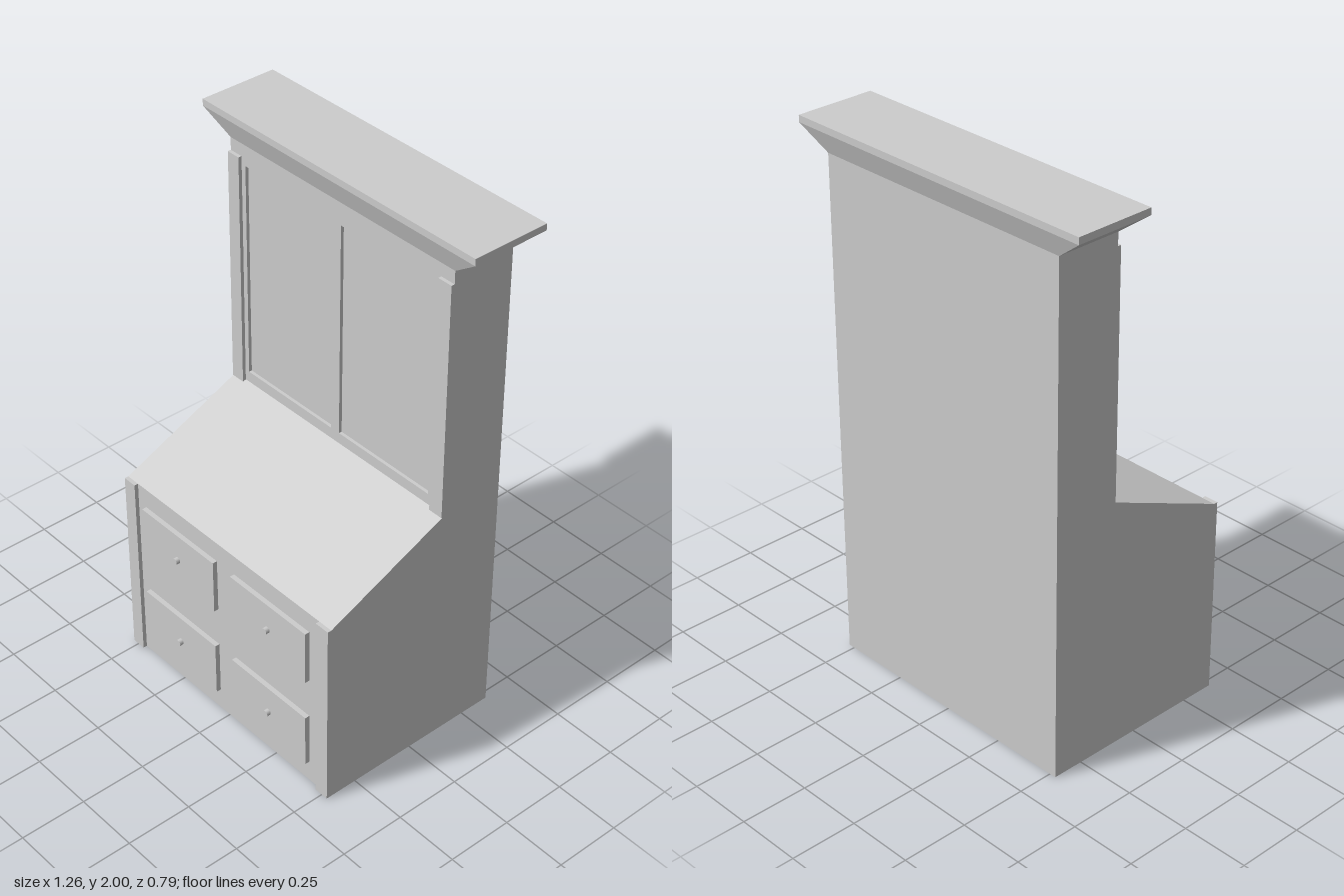
import * as THREE from 'three';

export function createModel() {
  const group = new THREE.Group();
  const paint = new THREE.MeshStandardMaterial({ color: 0xcccccc });
  paint.name = 'pale grey paint';

  const HALF = 0.525, BACK = -0.368, FRONT = 0.362, UPPER = -0.123;
  const SLOPE_LOW = 0.745, SLOPE_HIGH = 0.955, TOP = 1.895, RECESS = 0.012;

  const add = (name, geometry) => {
    const mesh = new THREE.Mesh(geometry, paint);
    mesh.name = name;
    group.add(mesh);
    return mesh;
  };
  // Box given by its lower and upper bounds
  const block = (name, x0, x1, y0, y1, z0, z1) => {
    const g = new THREE.BoxGeometry(x1 - x0, y1 - y0, z1 - z0);
    g.translate((x0 + x1) / 2, (y0 + y1) / 2, (z0 + z1) / 2);
    return add(name, g);
  };
  const rectangle = (Type, x0, x1, y0, y1) => new Type([
    [x0, y0], [x1, y0], [x1, y1], [x0, y1],
  ].map(([x, y]) => new THREE.Vector2(x, y)));

  // Carcass: side profile (z, y) with the sloping desk lid, extruded across x
  const profile = new THREE.Shape([
    [BACK, 0], [FRONT, 0], [FRONT, SLOPE_LOW], [UPPER, SLOPE_HIGH],
    [UPPER - RECESS, SLOPE_HIGH], [UPPER - RECESS, TOP], [BACK, TOP],
  ].map(([z, y]) => new THREE.Vector2(z, y)));
  const carcass = new THREE.ExtrudeGeometry(profile, { depth: HALF * 2, bevelEnabled: false });
  carcass.rotateY(-Math.PI / 2).translate(HALF, 0, 0);
  add('carcass', carcass);

  // Upper front frame with two openings for the sunken door panels
  const frame = rectangle(THREE.Shape, -HALF, HALF, SLOPE_HIGH, TOP);
  frame.holes.push(
    rectangle(THREE.Path, -0.452, -0.025, 0.997, 1.818),
    rectangle(THREE.Path, 0.014, 0.446, 0.997, 1.812),
  );
  const frameGeometry = new THREE.ExtrudeGeometry(frame, { depth: RECESS, bevelEnabled: false });
  frameGeometry.translate(0, 0, UPPER - RECESS);
  add('doorFrame', frameGeometry);

  // Corner pilasters, upper and lower
  for (const [side, x0, x1] of [['right', -HALF, -0.471], ['left', 0.467, HALF]]) {
    block(side + 'LowerPilaster', x0, x1, 0, SLOPE_LOW, FRONT - 0.005, 0.377);
    block(side + 'UpperPilaster', x0, x1, 0.951, 1.847, UPPER - 0.005, -0.11);
  }

  // Drawers with round knobs
  for (const [row, y0, y1] of [['lower', 0.084, 0.296], ['upper', 0.455, 0.667]]) {
    for (const [side, x0, x1] of [['Right', -0.43, -0.049], ['Left', 0.04, 0.419]]) {
      block(row + side + 'Drawer', x0, x1, y0, y1, FRONT - 0.005, 0.38);
      const knob = new THREE.CylinderGeometry(0.012, 0.012, 0.02, 12);
      knob.rotateX(Math.PI / 2).translate((x0 + x1) / 2, (y0 + y1) / 2, 0.385);
      add(row + side + 'Knob', knob);
    }
  }

  // Cornice: flared moulding under a flat cap
  const X = 0.632, Z0 = -0.395, Z1 = -0.097, CAP = 1.975;
  const flare = new THREE.BoxGeometry(2, 2, 2);
  const p = flare.attributes.position;
  for (let i = 0; i < p.count; i++) {
    const upper = p.getY(i) > 0;
    const back = upper ? Z0 : BACK, front = upper ? Z1 : UPPER;
    p.setXYZ(i, p.getX(i) * (upper ? X : HALF), upper ? CAP : TOP, p.getZ(i) > 0 ? front : back);
  }
  flare.computeVertexNormals();
  add('corniceMoulding', flare);
  block('corniceCap', -X, X, CAP, 2, Z0, Z1);

  return group;
}
